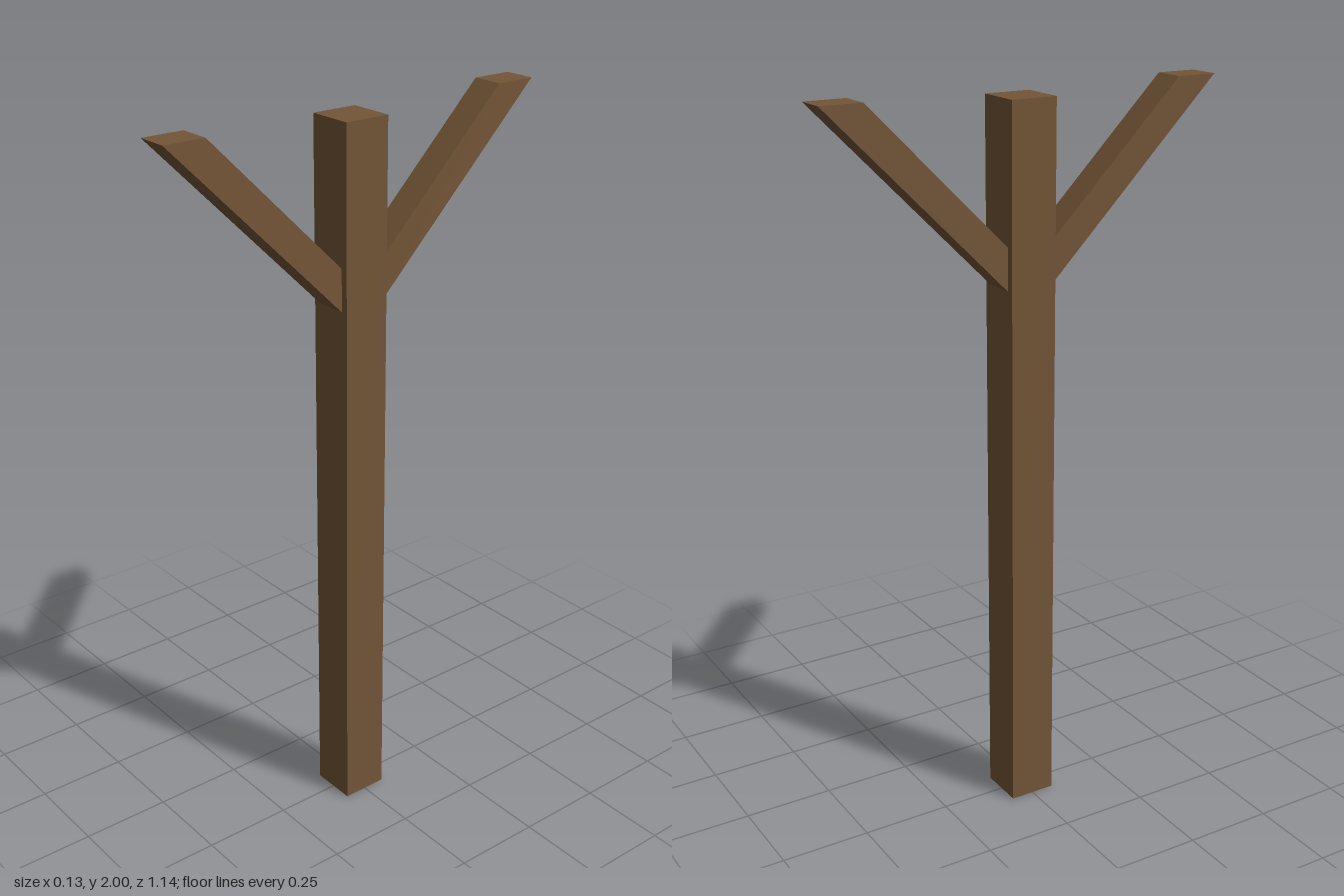
import * as THREE from 'three';

const POST = 0.13, POST_HEIGHT = 1.98;
const BRANCH_WIDTH = 0.09, RISE = 0.39;

export function createModel() {
  const model = new THREE.Group();
  const wood = new THREE.MeshStandardMaterial({ color: 0x735537 });
  wood.name = 'brown wood';

  // Square upright post
  const postGeometry = new THREE.BoxGeometry(POST, POST_HEIGHT, POST);
  postGeometry.translate(0, POST_HEIGHT / 2, 0);
  const post = new THREE.Mesh(postGeometry, wood);
  post.name = 'post';
  model.add(post);

  // Slanted branch profile: upright cut at the post, level cut at the top
  const root = POST / 2;
  const profile = new THREE.Shape([
    new THREE.Vector2(root, 1.495),
    new THREE.Vector2(0.57, 2),
    new THREE.Vector2(root + RISE, 2),
    new THREE.Vector2(root, 2 - RISE),
  ]);
  const branchGeometry = new THREE.ExtrudeGeometry(profile, { depth: BRANCH_WIDTH, bevelEnabled: false });
  branchGeometry.translate(0, 0, -BRANCH_WIDTH / 2);
  branchGeometry.rotateY(-Math.PI / 2);

  // One branch to the front, one turned to the back
  for (const [name, turn] of [['frontBranch', 0], ['backBranch', Math.PI]]) {
    const branch = new THREE.Mesh(branchGeometry, wood);
    branch.name = name;
    branch.rotation.y = turn;
    model.add(branch);
  }
  return model;
}
